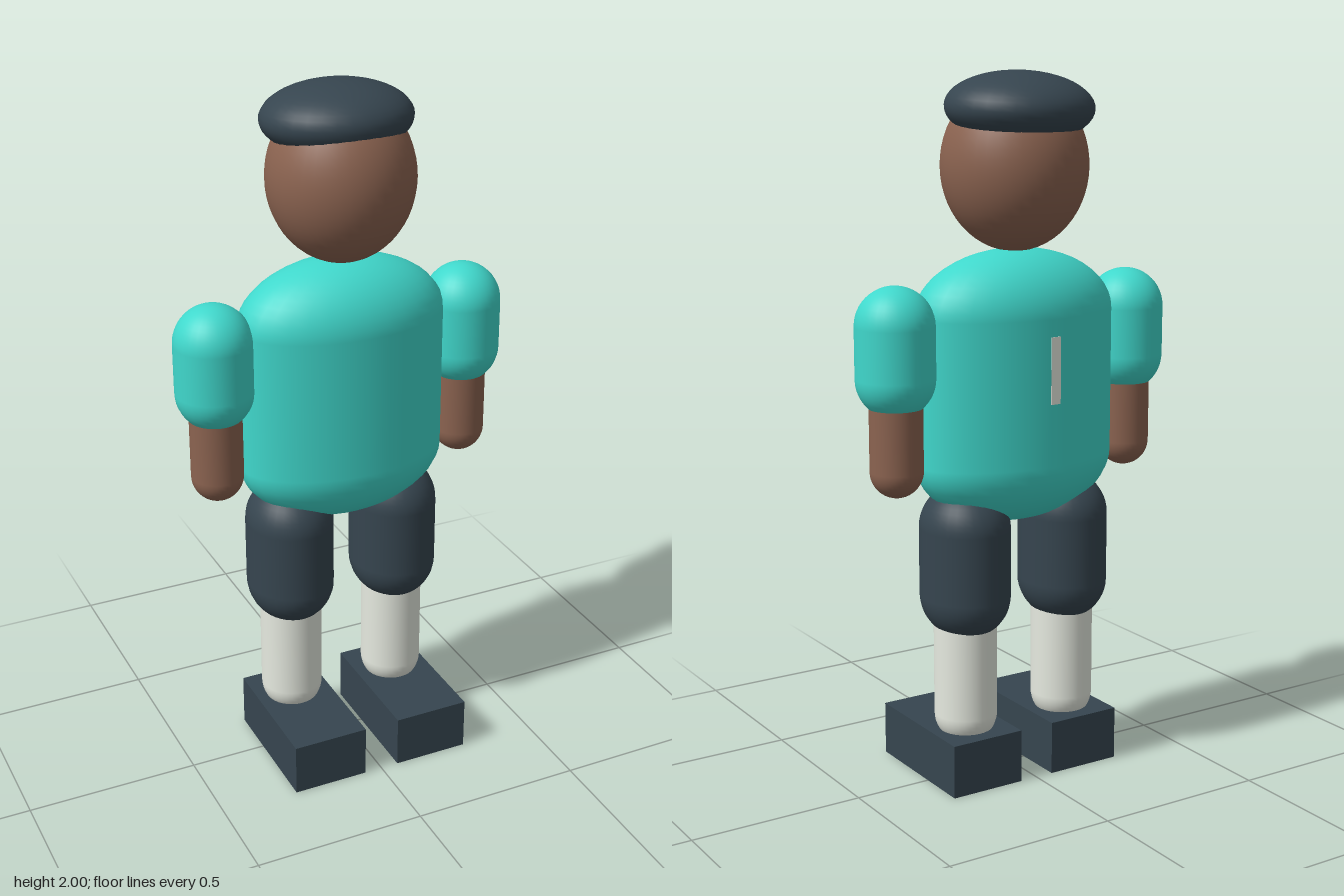
import * as THREE from 'three';

const mat = (color) => new THREE.MeshStandardMaterial({ color });

export function createModel() {
  const model = new THREE.Group();
  const shirt = mat(0x40d8cc), skin = mat(0x8b6350), dark = mat(0x36454f), sock = mat(0xe6eae0);
  const bodyZ = -0.03;

  function add(parent, name, geometry, material, x, y, z) {
    const mesh = new THREE.Mesh(geometry, material);
    mesh.name = name;
    mesh.position.set(x, y, z);
    parent.add(mesh);
    return mesh;
  }

  // Upright capsule reaching from y0 to y1
  function capsule(parent, name, material, radius, y0, y1, x = 0) {
    const geometry = new THREE.CapsuleGeometry(radius, y1 - y0 - 2 * radius, 12, 32);
    return add(parent, name, geometry, material, x, (y0 + y1) / 2, bodyZ);
  }

  // Torso: capsule widened across the shoulders
  capsule(model, 'torso', shirt, 0.18, 0.75, 1.52).scale.x = 1.7;

  // Thin strip standing just off the middle of the back
  add(model, 'backStrip', new THREE.BoxGeometry(0.03, 0.185, 0.002), sock, 0, 1.205, -0.238);

  // Egg-shaped head
  const head = add(model, 'head', new THREE.SphereGeometry(0.205, 40, 28), skin, 0, 1.745, bodyZ);
  head.scale.y = 1.145;

  // Flattened cap, tipped slightly backwards
  const cap = add(model, 'cap', new THREE.SphereGeometry(1, 32, 24), dark, 0, 1.902, -0.056);
  cap.scale.set(0.21, 0.098, 0.195);
  cap.rotation.x = -0.06;

  // Arms and legs on both sides
  for (const [side, s] of [['left', 1], ['right', -1]]) {
    const arm = new THREE.Group();
    arm.name = side + 'Arm';
    capsule(arm, 'sleeve', shirt, 0.11, 1.08, 1.44, s * 0.38);
    capsule(arm, 'forearm', skin, 0.074, 0.86, 1.2, s * 0.38);

    const leg = new THREE.Group();
    leg.name = side + 'Leg';
    capsule(leg, 'shorts', dark, 0.125, 0.425, 0.87, s * 0.165).scale.z = 1.12;
    capsule(leg, 'sock', sock, 0.09, 0.11, 0.55, s * 0.165);
    add(leg, 'shoe', new THREE.BoxGeometry(0.223, 0.154, 0.4), dark, s * 0.164, 0.077, 0.05);

    model.add(arm, leg);
  }
  return model;
}
